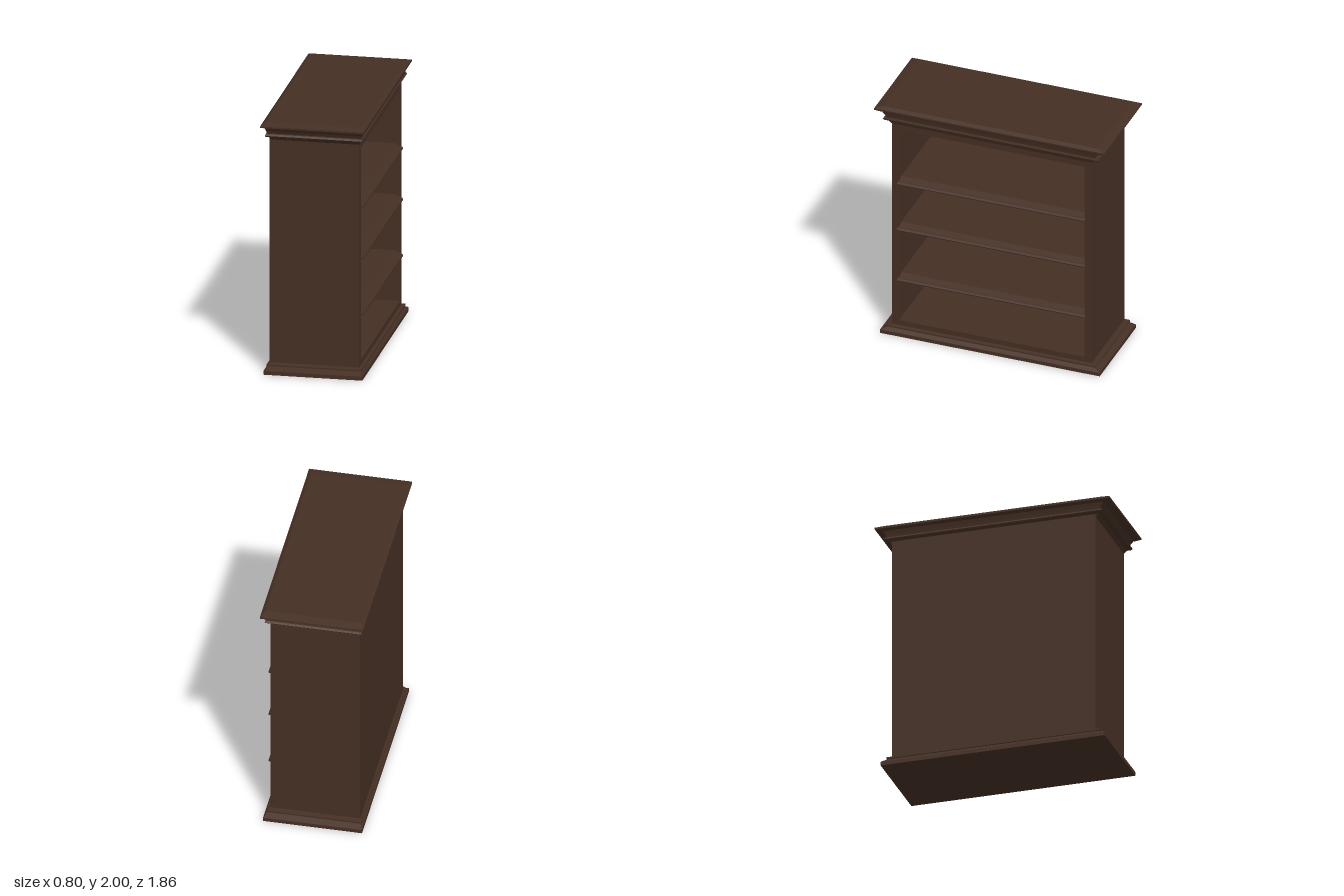
import * as THREE from 'three';

const wood = new THREE.MeshStandardMaterial({ color: 0x452f24 });
wood.name = 'dark walnut';

function addMesh(group, name, geometry) {
  const mesh = new THREE.Mesh(geometry, wood);
  mesh.name = name;
  group.add(mesh);
  return mesh;
}

// Closed block of stacked rectangles, each row is [half x, half z, y], bottom to top
function moulding(rows) {
  const loops = rows.map(([hx, hz, y]) => [[-hx, y, hz], [hx, y, hz], [hx, y, -hz], [-hx, y, -hz]]);
  const pos = [];
  const quad = (a, b, c, d) => pos.push(...a, ...b, ...c, ...a, ...c, ...d);
  for (let i = 0; i < loops.length - 1; i++) {
    for (let k = 0; k < 4; k++) {
      const n = (k + 1) % 4;
      quad(loops[i][k], loops[i][n], loops[i + 1][n], loops[i + 1][k]);
    }
  }
  const [b, t] = [loops[0], loops[loops.length - 1]];
  quad(b[3], b[2], b[1], b[0]);
  quad(t[0], t[1], t[2], t[3]);
  const geo = new THREE.BufferGeometry();
  geo.setAttribute('position', new THREE.Float32BufferAttribute(pos, 3));
  geo.computeVertexNormals();
  return geo;
}

// Side profile in x and y, extruded along z and centred
function alongZ(points, halfLength) {
  const shape = new THREE.Shape(points.map(([x, y]) => new THREE.Vector2(x, y)));
  const geo = new THREE.ExtrudeGeometry(shape, { depth: halfLength * 2, bevelEnabled: false });
  return geo.translate(0, 0, -halfLength);
}

function rect(path, hw, y0, y1) {
  path.moveTo(-hw, y0);
  path.lineTo(hw, y0);
  path.lineTo(hw, y1);
  path.lineTo(-hw, y1);
  path.closePath();
  return path;
}

export function createModel() {
  const model = new THREE.Group();
  model.name = 'bookcase';
  const front = 0.342, back = -0.352, inner = -0.32;

  // Case: a ring of sides, floor and ceiling, open toward +x
  const ring = rect(new THREE.Shape(), 0.81, 0.04, 1.9);
  ring.holes.push(rect(new THREE.Path(), 0.75, 0.12, 1.8));
  const caseGeo = new THREE.ExtrudeGeometry(ring, { depth: front - back, bevelEnabled: false });
  caseGeo.rotateY(Math.PI / 2).translate(back, 0, 0);
  addMesh(model, 'case', caseGeo);

  // Back panel closing the case
  const panel = addMesh(model, 'backPanel', new THREE.BoxGeometry(inner - back, 1.7, 1.52));
  panel.position.set((inner + back) / 2, 0.96, 0);

  // Shelves with a sloped front and a nosing that overlaps the frame
  for (const top of [0.52, 0.965, 1.37]) {
    const shelf = new THREE.Group();
    shelf.name = 'shelf';
    shelf.position.y = top;
    addMesh(shelf, 'shelfBoard', alongZ(
      [[inner, -0.045], [front, -0.045], [front, -0.02], [0.3, 0], [inner, 0]], 0.75));
    addMesh(shelf, 'shelfNosing', alongZ(
      [[front, -0.045], [0.364, -0.045], [0.366, -0.036], [0.356, -0.025], [front, -0.02]], 0.76));
    model.add(shelf);
  }

  // Plinth with a bead on top
  addMesh(model, 'plinth', moulding([
    [0.382, 0.89, 0], [0.382, 0.89, 0.03], [0.36, 0.835, 0.055],
    [0.365, 0.85, 0.058], [0.365, 0.85, 0.07], [0.342, 0.81, 0.077],
  ]));

  // Crown: cove, bead, flared neck and bevelled top slab
  addMesh(model, 'crown', moulding([
    [0.342, 0.81, 1.845], [0.354, 0.832, 1.873], [0.368, 0.862, 1.88],
    [0.374, 0.872, 1.89], [0.37, 0.862, 1.902], [0.363, 0.845, 1.904],
    [0.368, 0.855, 1.925], [0.377, 0.876, 1.955], [0.383, 0.89, 1.957],
    [0.398, 0.932, 1.97], [0.398, 0.932, 1.983], [0.37, 0.865, 2],
  ]));

  return model;
}
